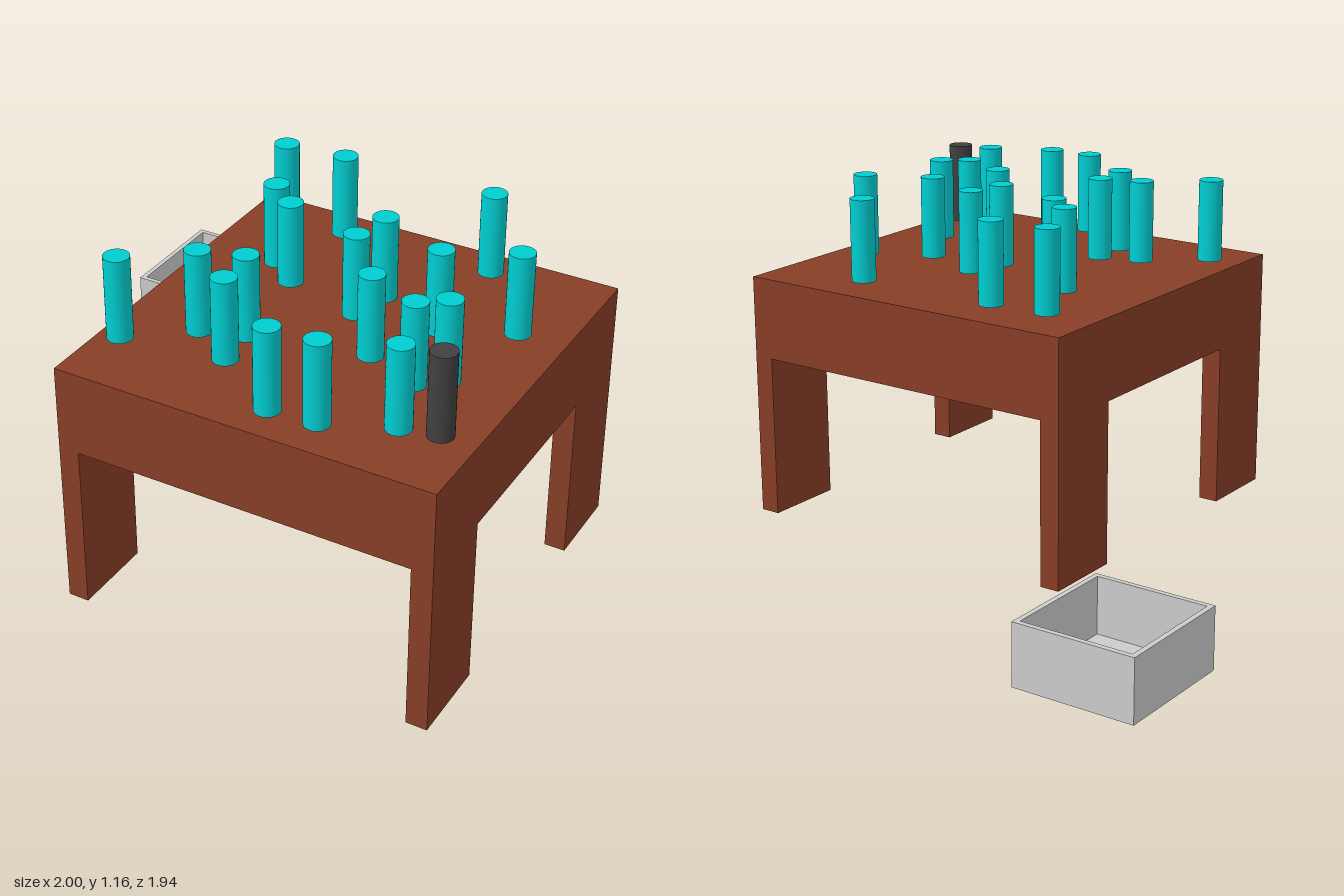
import * as THREE from 'three';

const paint = (color) => new THREE.MeshStandardMaterial({ color });

function box(parent, name, material, size, position) {
  const mesh = new THREE.Mesh(new THREE.BoxGeometry(...size), material);
  mesh.name = name;
  mesh.position.set(...position);
  parent.add(mesh);
  return mesh;
}

// Square table with thick top and four flat corner legs
function createTable() {
  const table = new THREE.Group();
  table.name = 'table';
  const wood = paint(0x873e27);
  const width = 1.286, thick = 0.286, legH = 0.574, legX = 0.071, legZ = 0.286;
  box(table, 'tableTop', wood, [width, thick, width], [0, legH + thick / 2, 0]);
  for (const sx of [-1, 1]) {
    for (const sz of [-1, 1]) {
      box(table, `${sz > 0 ? 'front' : 'back'}${sx > 0 ? 'Left' : 'Right'}Leg`, wood,
        [legX, legH, legZ],
        [sx * (width - legX) / 2, legH / 2, sz * (width - legZ) / 2]);
    }
  }
  table.position.set(0.357, 0, 0.327);
  return table;
}

// Upright pegs hovering just above the table: [x, z]
const PEGS = [
  [-0.13, -0.157], [0.08, -0.176], [0.613, -0.182], [-0.016, 0.104], [0.085, 0.19],
  [0.388, 0.126], [0.361, 0.265], [0.848, 0.118], [0.628, 0.222], [0.516, 0.455],
  [0.781, 0.47], [0.7, 0.532], [0.134, 0.543], [-0.008, 0.59], [0.147, 0.69],
  [-0.198, 0.743], [0.396, 0.863], [0.556, 0.853], [0.77, 0.757],
];

function createPegs() {
  const pegs = new THREE.Group();
  pegs.name = 'pegs';
  const geometry = new THREE.CylinderGeometry(0.042, 0.042, 0.286, 32);
  const teal = paint(0x00ced1);
  const addPeg = (name, material, x, z) => {
    const peg = new THREE.Mesh(geometry, material);
    peg.name = name;
    peg.position.set(x, 1.02, z);
    pegs.add(peg);
  };
  PEGS.forEach(([x, z], i) => addPeg(`tealPeg${i + 1}`, teal, x, z));
  addPeg('darkPeg', paint(0x404040), 0.891, 0.73);
  return pegs;
}

// Open-topped tray standing on the ground behind the table
function createTray() {
  const tray = new THREE.Group();
  tray.name = 'tray';
  const grey = paint(0xcccccc);
  const w = 0.425, d = 0.44, h = 0.21, t = 0.018;
  box(tray, 'trayFloor', grey, [w, t, d], [0, t / 2, 0]);
  for (const s of [-1, 1]) {
    box(tray, s > 0 ? 'trayLeftWall' : 'trayRightWall', grey,
      [t, h - t, d], [s * (w - t) / 2, (h + t) / 2, 0]);
    box(tray, s > 0 ? 'trayFrontWall' : 'trayBackWall', grey,
      [w - 2 * t, h - t, t], [0, (h + t) / 2, s * (d - t) / 2]);
  }
  tray.position.set(-0.7875, 0, -0.75);
  return tray;
}

export function createModel() {
  const model = new THREE.Group();
  model.name = 'pegTableWithTray';
  model.add(createTable(), createPegs(), createTray());
  return model;
}
